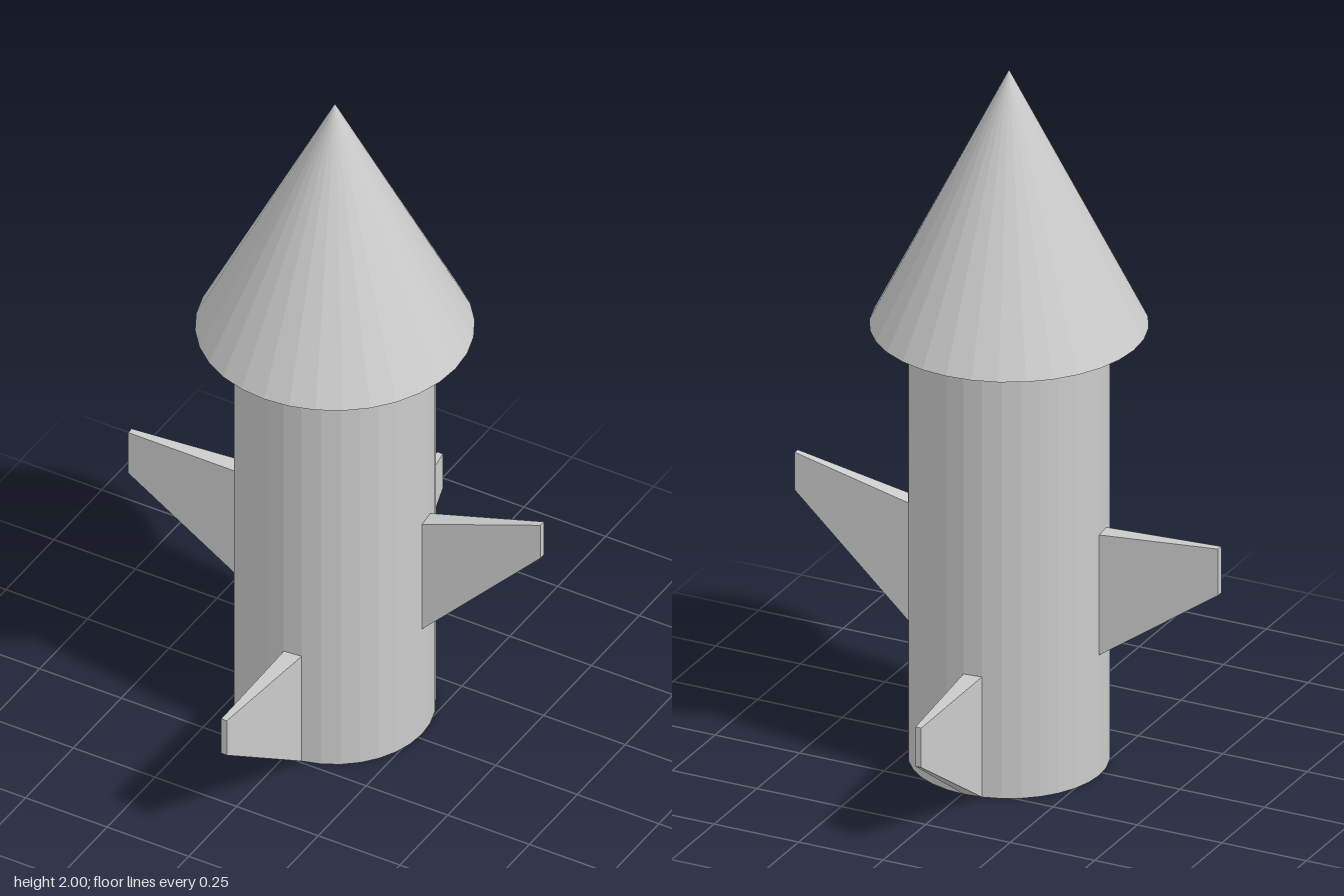
import * as THREE from 'three';

const SIDES = 32;
const BODY_R = 0.267;
const NECK_Y = 1.26;

const material = new THREE.MeshStandardMaterial({ color: 0xcccccc, flatShading: true });

// A fin grows from one flat facet of the body and tapers to a small rectangular tip.
// Local frame: z points outward, x runs along the body's circumference.
function finGeometry({ rootY, tipY, tipX, reach }) {
  const step = (Math.PI * 2) / SIDES;
  const [x1, z1] = [BODY_R * Math.sin(step), BODY_R * Math.cos(step)];
  const [lo, hi] = rootY;
  const root = [[0, lo, BODY_R], [x1, lo, z1], [x1, hi, z1], [0, hi, BODY_R]];
  const tip = [[0, 0], [1, 0], [1, 1], [0, 1]].map(([i, j]) => [tipX[i], tipY[j], reach]);
  const points = [];
  const quad = (a, b, c, d) => points.push(...a, ...b, ...c, ...a, ...c, ...d);
  for (let i = 0; i < 4; i++) {
    const j = (i + 1) % 4;
    quad(root[i], root[j], tip[j], tip[i]);
  }
  quad(...tip);
  const geometry = new THREE.BufferGeometry();
  geometry.setAttribute('position', new THREE.Float32BufferAttribute(points, 3));
  geometry.computeVertexNormals();
  return geometry;
}

export function createModel() {
  const rocket = new THREE.Group();
  rocket.name = 'rocket';
  rocket.position.set(-0.003, 0, -0.018);

  // Body tube
  const body = new THREE.Mesh(new THREE.CylinderGeometry(BODY_R, BODY_R, NECK_Y, SIDES), material);
  body.name = 'body';
  body.position.y = NECK_Y / 2;

  // Overhanging nose cone
  const nose = new THREE.Mesh(new THREE.ConeGeometry(0.37, 2 - NECK_Y, SIDES), material);
  nose.name = 'noseCone';
  nose.position.y = (2 + NECK_Y) / 2;
  rocket.add(body, nose);

  // Fins at quarter turns: front and back sit low, the side pair sits higher
  const fins = [
    { name: 'frontFin', rootY: [0, 0.35], tipY: [0.315, 0.43], tipX: [0.058, 0.075], reach: 0.692 },
    { name: 'leftFin', rootY: [0.35, 0.7], tipY: [0.68, 0.79], tipX: [0.054, 0.072], reach: 0.598 },
    { name: 'backFin', rootY: [0, 0.35], tipY: [0.255, 0.37], tipX: [0.056, 0.073], reach: 0.659 },
    { name: 'rightFin', rootY: [0.35, 0.7], tipY: [0.575, 0.71], tipX: [0.043, 0.062], reach: 0.597 },
  ];
  fins.forEach((spec, i) => {
    const fin = new THREE.Mesh(finGeometry(spec), material);
    fin.name = spec.name;
    fin.rotation.y = (i * Math.PI) / 2;
    rocket.add(fin);
  });

  const model = new THREE.Group();
  model.name = 'model';
  model.add(rocket);
  return model;
}
